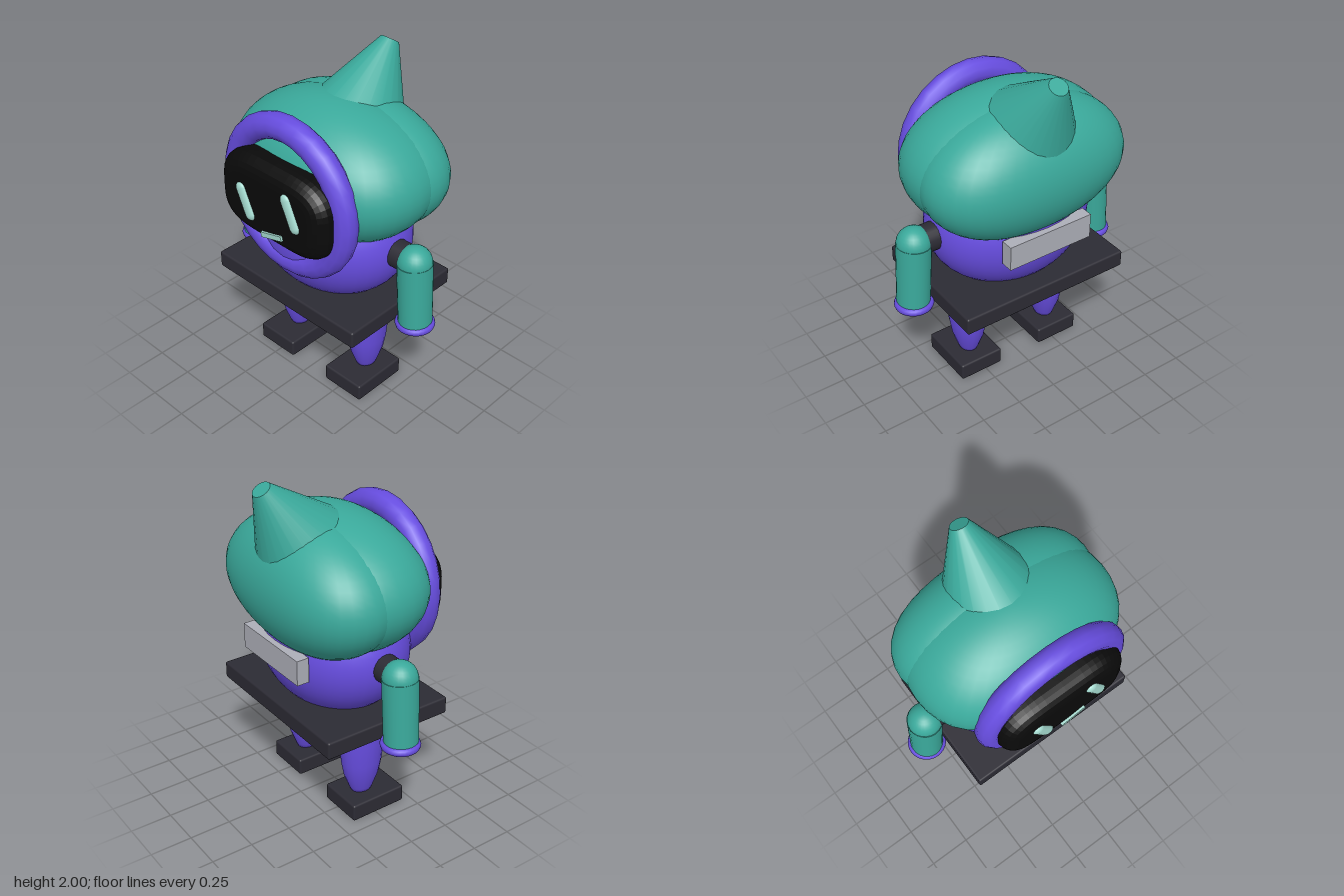
import * as THREE from 'three';
import { mergeVertices } from 'three/addons/utils/BufferGeometryUtils.js';
import { RoundedBoxGeometry } from 'three/addons/geometries/RoundedBoxGeometry.js';

const paint = (name, color) => Object.assign(new THREE.MeshStandardMaterial({ color }), { name });

export function createModel() {
  const teal = paint('teal', 0x3aa99b);
  const purple = paint('purple', 0x674de0);
  const charcoal = paint('charcoal', 0x2c2b34);
  const black = paint('black', 0x0a0a0a);
  const mint = paint('mint', 0xa4dacf);
  const grey = paint('grey', 0xadafb8);

  const model = new THREE.Group();
  model.name = 'robot';

  function add(name, geometry, material, x = 0, y = 0, z = 0, parent = model) {
    const mesh = new THREE.Mesh(geometry, material);
    mesh.name = name;
    mesh.position.set(x, y, z);
    parent.add(mesh);
    return mesh;
  }

  const block = (w, h, d) => new RoundedBoxGeometry(w, h, d, 2, 0.012);

  // Ellipsoid, optionally squared off in plan
  function ellipsoid(rx, ry, rz, boxy = 0) {
    let geo = new THREE.SphereGeometry(1, 40, 28);
    const p = geo.attributes.position;
    for (let i = 0; i < p.count; i++) {
      const x = p.getX(i);
      p.setXYZ(i, x * rx, p.getY(i) * ry, p.getZ(i) * rz * (1 + boxy * x * x));
    }
    geo.deleteAttribute('uv');
    geo.deleteAttribute('normal');
    geo = mergeVertices(geo);
    geo.computeVertexNormals();
    return geo;
  }

  // Head: two overlapping shells that meet in a soft crease
  add('headFront', ellipsoid(0.625, 0.4, 0.42, 0.25), teal, 0, 1.39, -0.02);
  add('headBack', ellipsoid(0.622, 0.39, 0.335, 0.25), teal, 0, 1.385, -0.17);

  // Horn leaning backwards, its base sunk into the head
  const tip = new THREE.Vector3(0, 1.973, -0.455);
  const base = new THREE.Vector3(0, 1.57, -0.185);
  const axis = tip.clone().sub(base);
  const horn = add('horn', new THREE.CylinderGeometry(0.053, 0.31, axis.length(), 24), teal);
  horn.position.copy(base).add(tip).multiplyScalar(0.5);
  horn.quaternion.setFromUnitVectors(new THREE.Vector3(0, 1, 0), axis.normalize());

  // Body and the ring framing the face
  add('body', ellipsoid(0.5, 0.41, 0.4), purple, 0, 1.0, -0.01);
  add('faceRing', new THREE.TorusGeometry(0.41, 0.075, 12, 28), purple, 0, 1.315, 0.325);

  // Visor: rounded rectangle with a wide soft edge
  const outline = [];
  for (let i = 0; i < 48; i++) {
    const a = (i / 48) * Math.PI * 2;
    const c = Math.cos(a), s = Math.sin(a);
    outline.push(new THREE.Vector2(
      0.3 * Math.sign(c) * Math.abs(c) ** 0.45,
      0.145 * Math.sign(s) * Math.abs(s) ** 0.45
    ));
  }
  add('visor', new THREE.ExtrudeGeometry(new THREE.Shape(outline), {
    depth: 0.16, bevelEnabled: true, bevelSize: 0.1, bevelThickness: 0.09, bevelSegments: 5
  }), black, 0, 1.312, 0.24);

  // Slanted eyes and mouth
  for (const [name, x, y] of [['rightEye', -0.17, 1.282], ['leftEye', 0.175, 1.358]]) {
    const eye = add(name, new THREE.CapsuleGeometry(0.036, 0.155, 6, 14), mint, x, y, 0.488);
    eye.scale.z = 0.6;
    eye.rotation.z = 0.43;
  }
  add('mouth', new THREE.BoxGeometry(0.162, 0.03, 0.05), mint, 0.035, 1.155, 0.478).rotation.z = 0.27;

  // Tray around the waist and plate on the back
  add('waistTray', block(1.08, 0.105, 0.82), charcoal, 0, 0.658, -0.012);
  add('backPlate', new THREE.BoxGeometry(0.54, 0.15, 0.075), grey, 0, 1.015, -0.398);

  // Leg profile from ankle to hip
  const legProfile = [
    [0, 0.09], [0.05, 0.1], [0.062, 0.13], [0.09, 0.22], [0.104, 0.31],
    [0.114, 0.45], [0.114, 0.6], [0.11, 0.66], [0, 0.67]
  ].map(([r, y]) => new THREE.Vector2(r, y));

  for (const [side, s] of [['left', 1], ['right', -1]]) {
    // Leg and foot
    const leg = add(side + 'Leg', new THREE.LatheGeometry(legProfile, 20), purple, s * 0.282, 0, -0.01);
    leg.scale.z = 1.22;
    add(side + 'Foot', block(0.28, 0.105, 0.36), charcoal, s * 0.28, 0.0525, 0.02);

    // Arm: joint, shoulder ball, forearm, cuff and hand
    const arm = new THREE.Group();
    arm.name = side + 'Arm';
    model.add(arm);
    const joint = add('shoulderJoint', new THREE.CylinderGeometry(0.082, 0.082, 0.16, 20), charcoal,
      s * 0.49, 1.012, -0.01, arm);
    joint.rotation.z = Math.PI / 2;
    add('shoulder', new THREE.SphereGeometry(0.1, 24, 16), teal, s * 0.612, 1.012, -0.01, arm);
    const forearm = add('forearm', new THREE.CylinderGeometry(0.099, 0.095, 0.4, 24), teal,
      s * 0.626, 0.81, -0.01, arm);
    forearm.rotation.z = s * 0.06;
    forearm.scale.z = 1.05;
    const cuff = add('cuff', new THREE.TorusGeometry(0.088, 0.026, 10, 28), purple, s * 0.635, 0.61, -0.012, arm);
    cuff.rotation.x = Math.PI / 2;
    add('hand', new THREE.SphereGeometry(0.08, 20, 14), teal, s * 0.637, 0.62, -0.01, arm);
  }
  return model;
}
